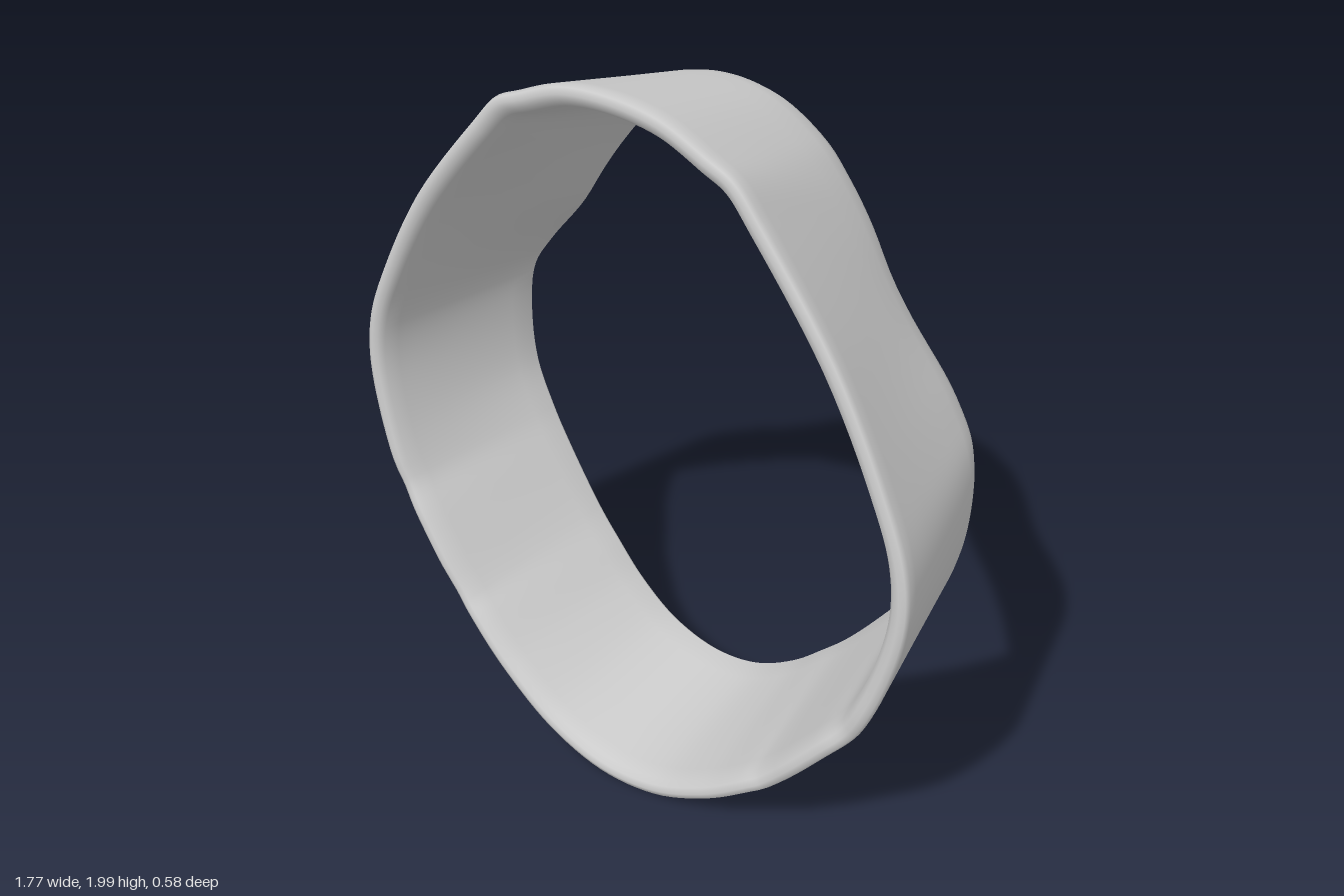
import * as THREE from 'three';

// Half outlines from top to bottom: [front x, front y, back x, back y]
const HALF = [
  [0.00, 2.000, 0.00, 1.905], [0.15, 1.985, 0.13, 1.885], [0.28, 1.937, 0.26, 1.815],
  [0.355, 1.905, 0.33, 1.745], [0.43, 1.83, 0.41, 1.645], [0.645, 1.58, 0.54, 1.45],
  [0.80, 1.32, 0.68, 1.285], [0.87, 1.16, 0.745, 1.18], [0.89, 1.02, 0.765, 1.02],
  [0.865, 0.84, 0.745, 0.84], [0.80, 0.64, 0.68, 0.695], [0.72, 0.52, 0.62, 0.595],
  [0.565, 0.31, 0.49, 0.41], [0.51, 0.26, 0.41, 0.32], [0.38, 0.15, 0.31, 0.22],
  [0.20, 0.045, 0.17, 0.13], [0.00, 0.005, 0.00, 0.095],
];

// Rounded wall section: [depth 0 front..1 back, inset 0 outside..1 inside]
const SECTION = [
  [0.035, 0], [0.1, 0], [0.3, 0], [0.5, 0], [0.7, 0], [0.85, 0], [0.93, 0.08], [0.98, 0.35],
  [1, 0.7], [0.98, 1], [0.85, 1], [0.6, 1], [0.35, 1], [0.12, 1], [0.04, 0.95],
  [0.01, 0.75], [0, 0.45], [0.01, 0.15],
];

// Mirrored closed curve through the half outline
function outline(k) {
  const right = HALF.map((p) => new THREE.Vector3(p[k], p[k + 1], 0));
  const left = right.slice(1, -1).reverse().map((p) => new THREE.Vector3(-p.x, p.y, 0));
  return new THREE.CatmullRomCurve3([...right, ...left], true, 'centripetal');
}

const bump = (y, centre, width) => Math.exp(-(((y - centre) / width) ** 2));

function bandGeometry() {
  const front = outline(0), back = outline(2);
  const N = 192, M = SECTION.length;
  const positions = [], index = [];
  for (let i = 0; i < N; i++) {
    const u = i / N;
    const f = front.getPoint(u), b = back.getPoint(u);
    const t = front.getTangent(u).lerp(back.getTangent(u), 0.5).normalize();
    // Slanted rims with slight unevenness
    const zFront = 0.29 - 0.045 * f.y - 0.008 * bump(f.y, 0.33, 0.06) - 0.008 * bump(f.y, 0.62, 0.05);
    const zBack = -0.225 - 0.034 * b.y - 0.012 * bump(b.y, 1.32, 0.12) + 0.008 * bump(b.y, 1.55, 0.08);
    for (const [s, inset] of SECTION) {
      const d = inset * THREE.MathUtils.lerp(0.055, 0.037, s);
      positions.push(
        THREE.MathUtils.lerp(f.x, b.x, s) + t.y * d,
        THREE.MathUtils.lerp(f.y, b.y, s) - t.x * d,
        THREE.MathUtils.lerp(zFront, zBack, s));
    }
    for (let j = 0; j < M; j++) {
      const n = ((i + 1) % N) * M, k = (j + 1) % M, c = i * M;
      index.push(c + j, n + j, c + k, n + j, n + k, c + k);
    }
  }
  const geometry = new THREE.BufferGeometry();
  geometry.setAttribute('position', new THREE.Float32BufferAttribute(positions, 3));
  geometry.setIndex(index);
  geometry.computeVertexNormals();
  return geometry;
}

export function createModel() {
  const group = new THREE.Group();
  group.name = 'taperedBand';
  const band = new THREE.Mesh(bandGeometry(), new THREE.MeshStandardMaterial({ color: 0xcccccc }));
  band.name = 'band';
  group.add(band);
  return group;
}
